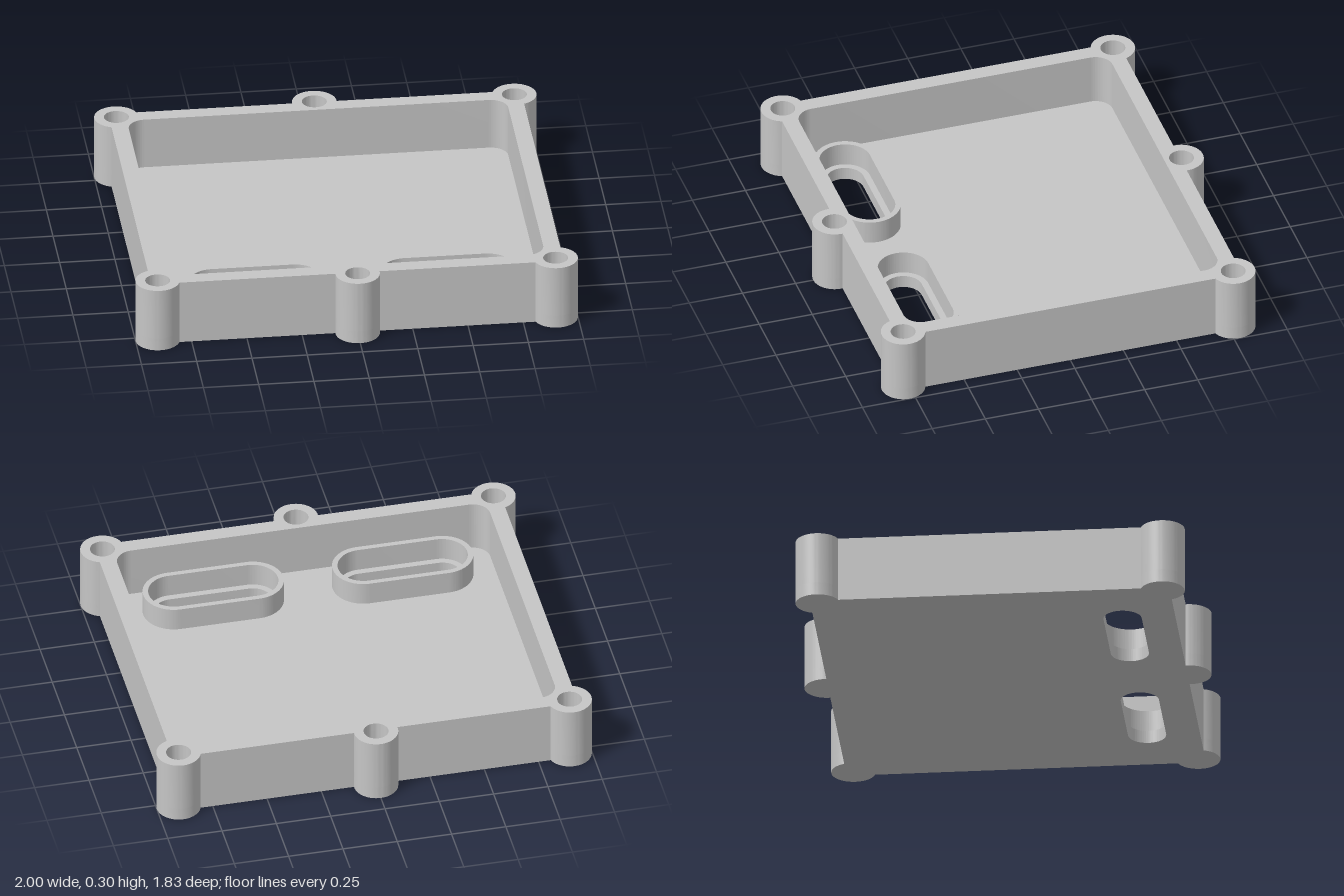
import * as THREE from 'three';
import { toCreasedNormals } from 'three/addons/utils/BufferGeometryUtils.js';

const HEIGHT = 0.303, FLOOR = 0.06, RIM_TOP = 0.17;
const BODY_X = 0.933, BODY_Z = 0.81;
const BOSS_R = 0.1, SCREW_R = 0.056;
const CORNER = [0.9, 0.777], MIDDLE = [0, 0.817];
const SLOT_X = 0.436, SLOT_Z = 0.572;

// Rounded rectangle, also used for the slots when the radius is half the height
function roundRect(target, cx, cy, hx, hy, r) {
  const h = Math.PI / 2;
  target.absarc(cx + hx - r, cy + hy - r, r, 0, h, false);
  target.absarc(cx - hx + r, cy + hy - r, r, h, 2 * h, false);
  target.absarc(cx - hx + r, cy - hy + r, r, 2 * h, 3 * h, false);
  target.absarc(cx + hx - r, cy - hy + r, r, 3 * h, 4 * h, false);
  target.closePath();
  return target;
}

const slot = (target, cx, hx, hy) => roundRect(target, cx, -SLOT_Z, hx, hy, hy);

// Box outline with the screw bosses bulging from its corners and long sides
function outline() {
  const s = new THREE.Shape();
  const dx = BODY_X - CORNER[0], dy = BODY_Z - CORNER[1];
  const a0 = -Math.acos(dx / BOSS_R), a1 = Math.PI - Math.asin(dy / BOSS_R);
  const m = Math.asin((BODY_Z - MIDDLE[1]) / BOSS_R);
  for (const [sign, turn] of [[1, 0], [-1, Math.PI]]) {
    const [x, y] = CORNER;
    s.absarc(sign * x, sign * y, BOSS_R, a0 + turn, a1 + turn, false);
    s.absarc(0, sign * MIDDLE[1], BOSS_R, m + turn, Math.PI - m + turn, false);
    s.absarc(-sign * x, sign * y, BOSS_R, Math.PI - a1 + turn, Math.PI - a0 + turn, false);
  }
  s.closePath();
  return s;
}

export function createModel() {
  const group = new THREE.Group();
  const grey = new THREE.MeshStandardMaterial({ color: 0xc5c5c5 });
  grey.name = 'light grey plastic';

  // Extrude a plan shape upwards between two heights
  function add(name, shape, y0, y1) {
    let geo = new THREE.ExtrudeGeometry(shape, { depth: y1 - y0, bevelEnabled: false, curveSegments: 24 });
    geo.rotateX(-Math.PI / 2).translate(0, y0, 0);
    geo = toCreasedNormals(geo, 0.6);
    geo.clearGroups();
    const mesh = new THREE.Mesh(geo, grey);
    mesh.name = name;
    group.add(mesh);
  }

  // Floor with two through slots
  const floor = outline();
  for (const side of [-1, 1]) floor.holes.push(slot(new THREE.Path(), side * SLOT_X, 0.269, 0.086));
  add('floor', floor, 0, FLOOR);

  // Walls with bosses, cavity and blind screw holes
  const walls = outline();
  walls.holes.push(roundRect(new THREE.Path(), 0, 0, 0.858, 0.737, 0.08));
  for (const sz of [-1, 1]) {
    for (const [x, z] of [CORNER, MIDDLE, [-CORNER[0], CORNER[1]]]) {
      walls.holes.push(new THREE.Path().absarc(x, sz * z, SCREW_R, 0, Math.PI * 2, false));
    }
  }
  add('wallsWithBosses', walls, FLOOR, HEIGHT);

  // Raised collars around the slots
  for (const side of [-1, 1]) {
    const collar = slot(new THREE.Shape(), side * SLOT_X, 0.322, 0.14);
    collar.holes.push(slot(new THREE.Path(), side * SLOT_X, 0.297, 0.116));
    add(side > 0 ? 'leftSlotCollar' : 'rightSlotCollar', collar, FLOOR, RIM_TOP);
  }
  return group;
}
